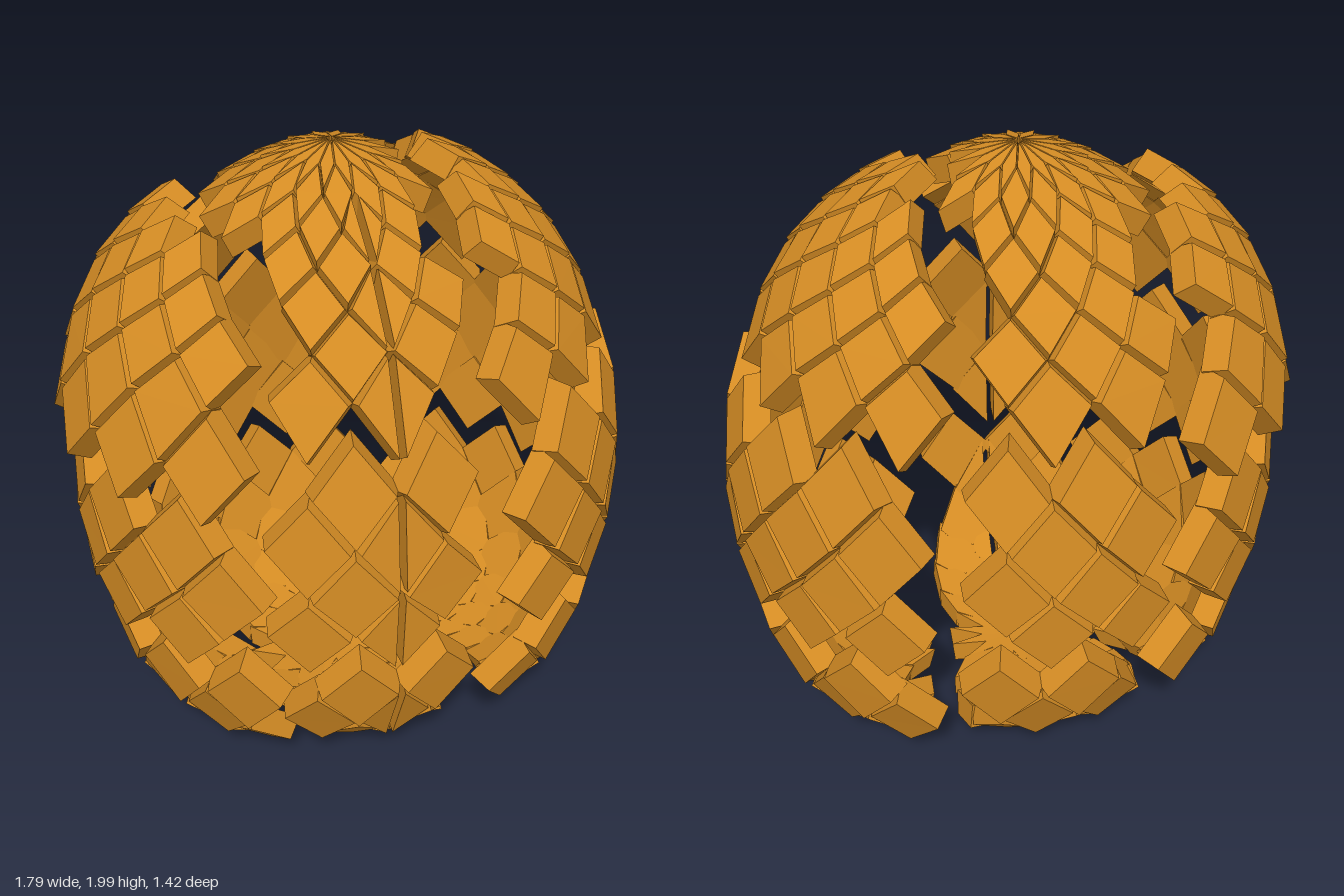
import * as THREE from 'three';

// Shell rows from bottom pole to top pole: [height, radius]
const ROWS = [[0.112, 0], [0.115, 0.1], [0.125, 0.22], [0.145, 0.33], [0.185, 0.44], [0.265, 0.55], [0.405, 0.64],
  [0.575, 0.685], [0.73, 0.705], [0.88, 0.712], [1.05, 0.708], [1.22, 0.68], [1.39, 0.62], [1.51, 0.56],
  [1.61, 0.485], [1.69, 0.4], [1.76, 0.31], [1.82, 0.215], [1.865, 0.11], [1.89, 0]];
const COUNT = 16, PITCH = Math.PI * 2 / COUNT, TURN = 0.043, SEAM = 4;
const DEPTH = 0.08, INSET = 0.88, SINK = 0.01;

// Offsets of each broken piece: [level][column] sideways, [level] upwards
const SHIFT_X = [[-0.13, -0.03, 0.16], [-0.165, -0.05, 0.175], [-0.21, -0.05, 0.115]];
const SHIFT_Y = [-0.11, 0, 0.11];
const LEVELS = ['lower', 'middle', 'upper'], COLUMNS = ['Right', 'Center', 'Left'];

function shellPoint(row, step) {
  const [y, r] = ROWS[row], a = TURN + step * PITCH;
  return new THREE.Vector3(r * Math.cos(a), y, r * Math.sin(a));
}

// Prism with a small outer face and a full-size base, leaving grooves between scales
function addScale(out, corners, anchor, normal) {
  let poly = corners;
  const n = poly[1].clone().sub(poly[0]).cross(poly[2].clone().sub(poly[0]));
  if (n.dot(normal) < 0) poly = poly.slice().reverse();
  const face = poly.map(p => anchor.clone().lerp(p, INSET));
  const base = poly.map(p => p.clone().addScaledVector(normal, -DEPTH));
  const tri = (...pts) => pts.forEach(p => out.push(p.x, p.y, p.z));
  for (let k = 1; k < poly.length - 1; k++) {
    tri(face[0], face[k], face[k + 1]);
    tri(base[0], base[k + 1], base[k]);
  }
  poly.forEach((_, k) => {
    const m = (k + 1) % poly.length;
    tri(face[k], base[k], base[m]);
    tri(face[k], base[m], face[m]);
  });
}

export function createModel() {
  const group = new THREE.Group();
  const material = new THREE.MeshStandardMaterial({ color: 0xd68d24, flatShading: true });
  const pieces = LEVELS.map(() => COLUMNS.map(() => []));

  for (let i = 1; i < ROWS.length - 1; i++) {
    for (let j = 0; j < COUNT; j++) {
      // Diamond corners; every other row is turned by half a scale
      const step = j + (i % 2) * 0.5;
      const top = shellPoint(i + 1, step), bottom = shellPoint(i - 1, step);
      const left = shellPoint(i, step - 0.5), right = shellPoint(i, step + 0.5);
      const center = shellPoint(i, step);
      const across = left.clone().sub(right);
      const normal = across.clone().cross(top.clone().sub(bottom)).normalize();
      if (normal.dot(center.clone().sub(new THREE.Vector3(0, 0.95, 0))) < 0) normal.negate();

      // Tuck the upper tip under, less so near the poles, and flatten the diamond
      top.addScaledVector(normal, -SINK * Math.min(1, ROWS[i][1] / 0.4));
      const gap = top.clone().add(bottom).sub(left).sub(right).multiplyScalar(0.5).dot(normal);
      left.addScaledVector(normal, gap);
      right.addScaledVector(normal, gap);

      // Pick the broken piece this scale belongs to
      const column = center.x < -0.32 ? 0 : center.x > 0.19 ? 2 : 1;
      const level = i < 8 ? 0 : i < (column === 0 ? 11 : 12) ? 1 : 2;
      const out = pieces[level][column];

      const middle = top.clone().lerp(bottom, 0.5);
      if (i % 2 === 0 && j === SEAM && ROWS[i][1] > 0.2) {
        // Front seam: the scale is split into two halves
        across.normalize();
        for (const [side, s] of [[left, 0.012], [right, -0.012]]) {
          const t = top.clone().addScaledVector(across, s), b = bottom.clone().addScaledVector(across, s);
          addScale(out, [t, side, b], middle, normal);
        }
      } else {
        addScale(out, [left, top, right, bottom], middle, normal);
      }
    }
  }

  // One mesh per shell piece, moved apart from its neighbours
  pieces.forEach((level, v) => level.forEach((positions, h) => {
    const geometry = new THREE.BufferGeometry();
    geometry.setAttribute('position', new THREE.Float32BufferAttribute(positions, 3));
    geometry.computeVertexNormals();
    const mesh = new THREE.Mesh(geometry, material);
    mesh.name = LEVELS[v] + COLUMNS[h] + 'Shell';
    mesh.position.set(SHIFT_X[v][h], SHIFT_Y[v], 0);
    group.add(mesh);
  }));
  return group;
}
